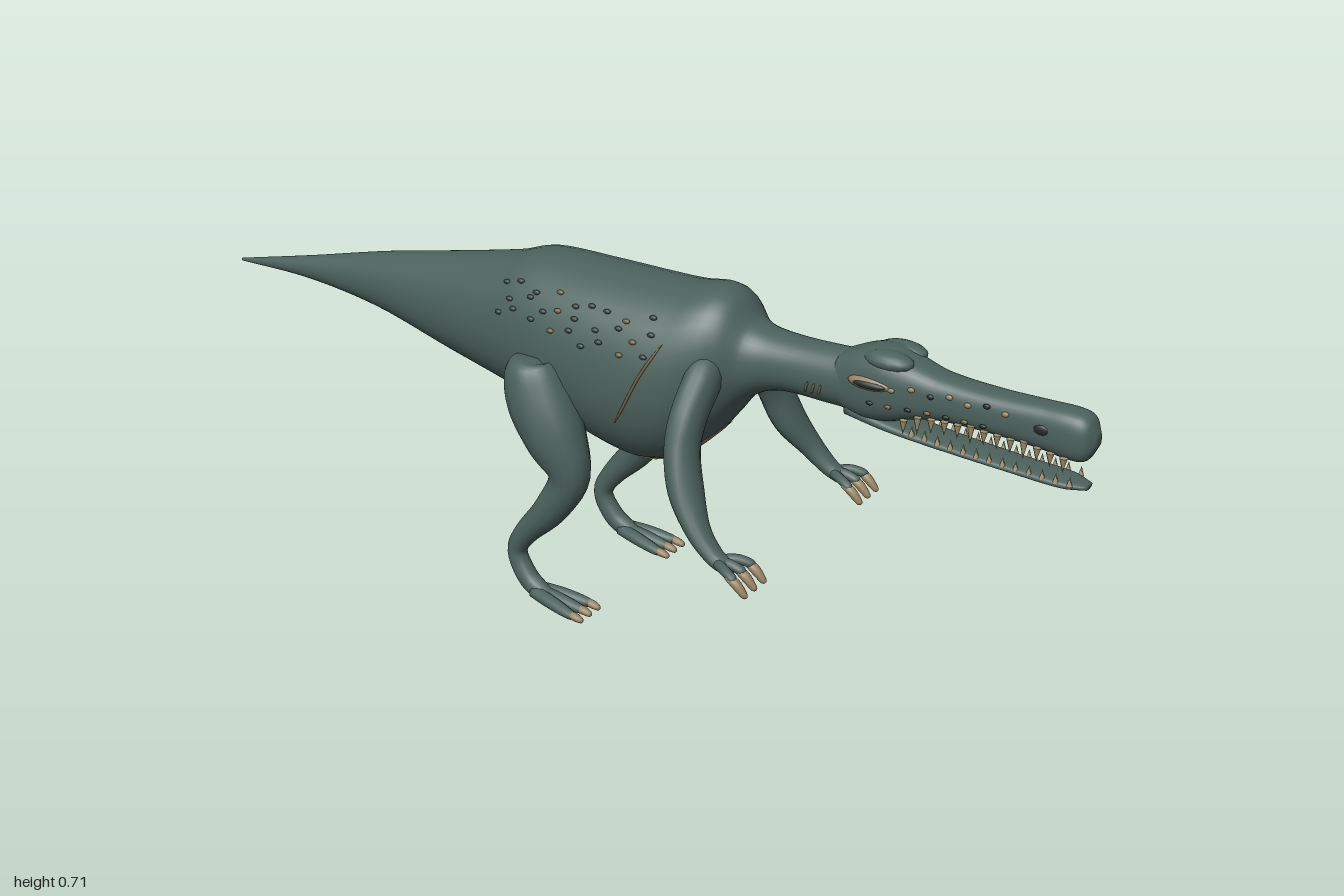
import * as THREE from 'three';

const mat = (name, color, side = THREE.FrontSide) => {
  const m = new THREE.MeshStandardMaterial({ color, side });
  m.name = name;
  return m;
};

// Smooth interpolation through rows whose first entry is the parameter
function sample(rows, t) {
  let i = 0;
  while (i < rows.length - 2 && t > rows[i + 1][0]) i++;
  const a = rows[i], b = rows[i + 1], p = rows[i - 1] || a, n = rows[i + 2] || b;
  const h = b[0] - a[0], s = (t - a[0]) / h, s2 = s * s, s3 = s2 * s;
  return a.map((_, k) => {
    const ma = (b[k] - p[k]) / (b[0] - p[0]) * h, mb = (n[k] - a[k]) / (n[0] - a[0]) * h;
    return (2 * s3 - 3 * s2 + 1) * a[k] + (s3 - 2 * s2 + s) * ma + (3 * s2 - 2 * s3) * b[k] + (s3 - s2) * mb;
  });
}

// Surface through rows of points; closed rows wrap round
function skin(rows, closed = true) {
  const n = rows[0].length, idx = [];
  for (let i = 0; i < rows.length - 1; i++) {
    for (let j = 0; j < (closed ? n : n - 1); j++) {
      const a = i * n + j, d = i * n + (j + 1) % n, b = a + n, c = d + n;
      idx.push(a, d, b, b, d, c);
    }
  }
  const g = new THREE.BufferGeometry();
  g.setAttribute('position', new THREE.Float32BufferAttribute(rows.flat(2), 3));
  g.setIndex(idx);
  g.computeVertexNormals();
  return g;
}

const steps = (rows, per) => {
  const out = [rows[0][0]];
  for (let i = 1; i < rows.length; i++)
    for (let k = 1; k <= per; k++) out.push(rows[i - 1][0] + (rows[i][0] - rows[i - 1][0]) * k / per);
  return out;
};

// Point on a lengthwise hull of stations [x, top, bottom, halfWidth]
function hullPoint(st, x, ang, pow = 2.15, grow = 0) {
  const [, top, bot, w] = sample(st, x);
  const c = Math.cos(ang), s = Math.sin(ang), e = 2 / pow;
  return [x, (top + bot) / 2 + (Math.max(0, top - bot) / 2 + grow) * Math.sign(c) * Math.abs(c) ** e,
    (Math.max(0, w) + grow) * Math.sign(s) * Math.abs(s) ** e];
}

function hull(st, pow, sides = 36) {
  const xs = steps(st, 6);
  const rows = xs.map(x => Array.from({ length: sides }, (_, j) => hullPoint(st, x, j / sides * Math.PI * 2, pow)));
  for (const [x, add] of [[xs[0], 'unshift'], [xs[xs.length - 1], 'push']]) {
    const [, t, b] = sample(st, x);
    rows[add](Array.from({ length: sides }, () => [x, (t + b) / 2, 0]));
  }
  return skin(rows);
}

// Limb through points [x, y, z, radius], k stretches its width in z, s mirrors it
function limb(pts, k = 1, s = 1, sides = 16) {
  const rows = pts.map((p, i) => [i, p[0], p[1], p[2] * s, p[3]]);
  const ts = steps(rows, 5), rings = [];
  const at = t => new THREE.Vector3(...sample(rows, t).slice(1, 4));
  ts.forEach((t, i) => {
    const T = at(ts[Math.min(i + 1, ts.length - 1)]).sub(at(ts[Math.max(i - 1, 0)])).normalize();
    const N = new THREE.Vector3(0, 0, 1).addScaledVector(T, -T.z).normalize();
    const B = T.clone().cross(N), r = Math.max(0.0005, sample(rows, t)[4]);
    rings.push(Array.from({ length: sides }, (_, j) => {
      const a = j / sides * Math.PI * 2;
      return at(t).addScaledVector(N, r * k * Math.cos(a)).addScaledVector(B, r * Math.sin(a)).toArray();
    }));
  });
  rings.unshift(rings[0].map(() => at(ts[0]).toArray()));
  rings.push(rings[0].map(() => at(ts[ts.length - 1]).toArray()));
  return skin(rings);
}

export function createModel() {
  const group = new THREE.Group();
  const hide = mat('hide', 0x4c625d), horn = mat('horn', 0x97815f), tooth = mat('tooth', 0xa8946f);
  const belly = mat('belly', 0x9a8464, THREE.DoubleSide), dark = mat('dark', 0x232d2a);
  const scale = mat('scale', 0x35443f), scar = mat('scar', 0x76613f);
  const add = (name, geo, m) => {
    const mesh = new THREE.Mesh(geo, m);
    mesh.name = name;
    group.add(mesh);
    return mesh;
  };
  const ball = new THREE.SphereGeometry(1, 14, 10);
  const blob = (name, p, size, m) => {
    const b = add(name, ball, m);
    b.position.set(...p);
    b.scale.set(...size);
  };

  // Tail, torso and neck in one skin
  const body = [[-1, .508, .502, .003], [-.8, .555, .505, .025], [-.6, .605, .485, .053], [-.4, .647, .438, .086],
    [-.25, .68, .407, .118], [-.18, .702, .39, .132], [-.05, .703, .352, .15], [.08, .702, .325, .156], [.16, .704, .345, .148],
    [.23, .714, .405, .124], [.27, .702, .455, .1], [.31, .658, .505, .07], [.37, .645, .532, .055], [.48, .645, .532, .05], [.56, .65, .53, .052]];
  add('body', hull(body, 2.15), hide);

  // Pale belly patch following the underside, rounded at both ends
  const patch = [];
  for (let i = 0; i <= 32; i++) {
    const q = -Math.cos(i / 32 * Math.PI), x = .085 + .165 * q;
    const half = .052 * Math.max(0, 1 - Math.abs(q) ** 5) ** .5;
    const a = Math.asin(Math.min(.9, half / sample(body, x)[3]));
    patch.push(Array.from({ length: 13 }, (_, j) => hullPoint(body, x, Math.PI + a * (j / 6 - 1), 2.15, .002)));
  }
  add('bellyPatch', skin(patch, false), belly);

  // Skull with long snout, and the lower jaw
  const skull = [[.49, .64, .54, .045], [.55, .667, .525, .057], [.6, .674, .53, .06], [.65, .657, .545, .05], [.7, .643, .555, .042],
    [.8, .636, .556, .038], [.9, .637, .55, .036], [.955, .637, .543, .037], [.985, .628, .548, .031], [1, .6, .575, .012]];
  const jaw = [[.52, .56, .525, .044], [.6, .538, .513, .043], [.7, .523, .503, .038], [.85, .511, .493, .034], [.95, .506, .488, .031], [.99, .5, .49, .014]];
  add('skull', hull(skull, 2.7), hide);
  add('lowerJaw', hull(jaw, 2.5), hide);

  const cone = new THREE.ConeGeometry(1, 1, 7);
  const thigh = [[-.12, .532, .14, .02], [-.118, .515, .142, .056], [-.095, .45, .143, .071], [-.055, .38, .152, .064], [-.02, .305, .157, .043],
    [-.06, .225, .162, .035], [-.125, .15, .16, .025], [-.15, .1, .158, .021], [-.125, .05, .16, .022], [-.09, .026, .162, .02], [-.05, .014, .162, .01]];
  const arm = [[.25, .6, .055, .015], [.25, .565, .092, .034], [.247, .5, .145, .034], [.252, .44, .175, .032], [.275, .37, .197, .031],
    [.315, .31, .219, .022], [.355, .27, .226, .017], [.385, .254, .227, .014], [.4, .248, .227, .007]];

  for (const s of [1, -1]) {
    const side = s > 0 ? 'right' : 'left'; // model looks along +x
    add(side + 'Leg', limb(thigh, .95, s), hide);
    add(side + 'Arm', limb(arm, 1.3, s), hide);
    for (const d of [-1, 0, 1]) {
      // Toes and fingers with claws
      const tz = .162 + d * .031, fz = .227 + d * .035;
      add('toe', limb([[-.1, .026, .162 + d * .01, .014], [-.045, .02, .162 + d * .022, .014], [.004, .013, tz, .01], [.01, .012, tz, .003]], 1, s, 10), hide);
      add('toeClaw', limb([[-.005, .015, tz, .007], [.015, .012, tz, .009], [.03, .008, tz, .006], [.034, .007, tz, .002]], 1, s, 10), horn);
      add('finger', limb([[.37, .262, .227 + d * .01, .01], [.395, .262, .227 + d * .026, .01], [.418, .255, fz, .009], [.424, .251, fz, .003]], 1, s, 10), hide);
      add('fingerClaw', limb([[.406, .257, fz, .007], [.425, .247, fz, .01], [.444, .228, fz, .007], [.448, .223, fz, .003]], 1, s, 10), horn);
    }

    // Brow, eye and nostril
    blob('brow', [.6, .655, s * .028], [.05, .019, .028], hide);
    blob('eyelid', [.575, .613, s * .054], [.044, .013, .012], horn);
    blob('eye', [.577, .613, s * .06], [.034, .008, .009], dark);
    blob('nostril', [.905, .597, s * .034], [.016, .01, .005], dark);

    // Teeth along both jaws
    for (let i = 0; i < 13; i++) {
      const x = .645 + i * .0255, up = sample(skull, x), low = sample(jaw, x);
      const t = add('upperTooth', cone, tooth);
      t.position.set(x, up[2] - .003, s * (up[3] - .003));
      t.scale.set(.008, i % 4 === 1 ? .036 : .028, .007);
      t.rotation.x = Math.PI;
      const l = add('lowerTooth', cone, tooth);
      l.position.set(x + .012, low[1] + .002, s * (low[3] - .005));
      l.scale.set(.006, .02, .005);
    }

    // Knobs along the face
    for (let i = 0; i < 7; i++) {
      const x = .62 + i * .036;
      blob('faceKnob', [x, .61 + (i % 2) * .007, s * sample(skull, x)[3] * .97], [.007, .005, .004], i % 3 === 2 ? dark : horn);
      blob('cheekKnob', [x - .04, .577, s * sample(skull, x - .04)[3]], [.007, .004, .003], i % 2 ? scar : dark);
    }

    // Sparse rows of raised scales on the flank
    for (let row = 0; row < 3; row++) {
      for (let i = 0; i < 9; i++) {
        const x = -.21 + i * .043 + (row % 2) * .02 + Math.sin(i * 5 + row * 3) * .008;
        const p = hullPoint(body, x, s * (.78 + row * .2 + Math.sin(i * 3.7 + row) * .06));
        blob('scale', p, [.008, .005, .005], i % 4 === 3 ? scar : scale);
      }
    }

    // Flank scar and neck folds
    const line = (name, x0, a0, x1, a1, r) => add(name, limb(Array.from({ length: 6 }, (_, i) => {
      const q = i / 5;
      return [...hullPoint(body, x0 + (x1 - x0) * q, s * (a0 + (a1 - a0) * q)), i % 5 ? r : r * .3];
    }), 1, 1, 8), scar);
    line('scar', .08, 1.93, .175, 1.05, .003);
    for (let i = 0; i < 3; i++) line('neckFold', .438 + i * .014, 2.1, .446 + i * .014, 1.65, .0025);
  }
  return group;
}
